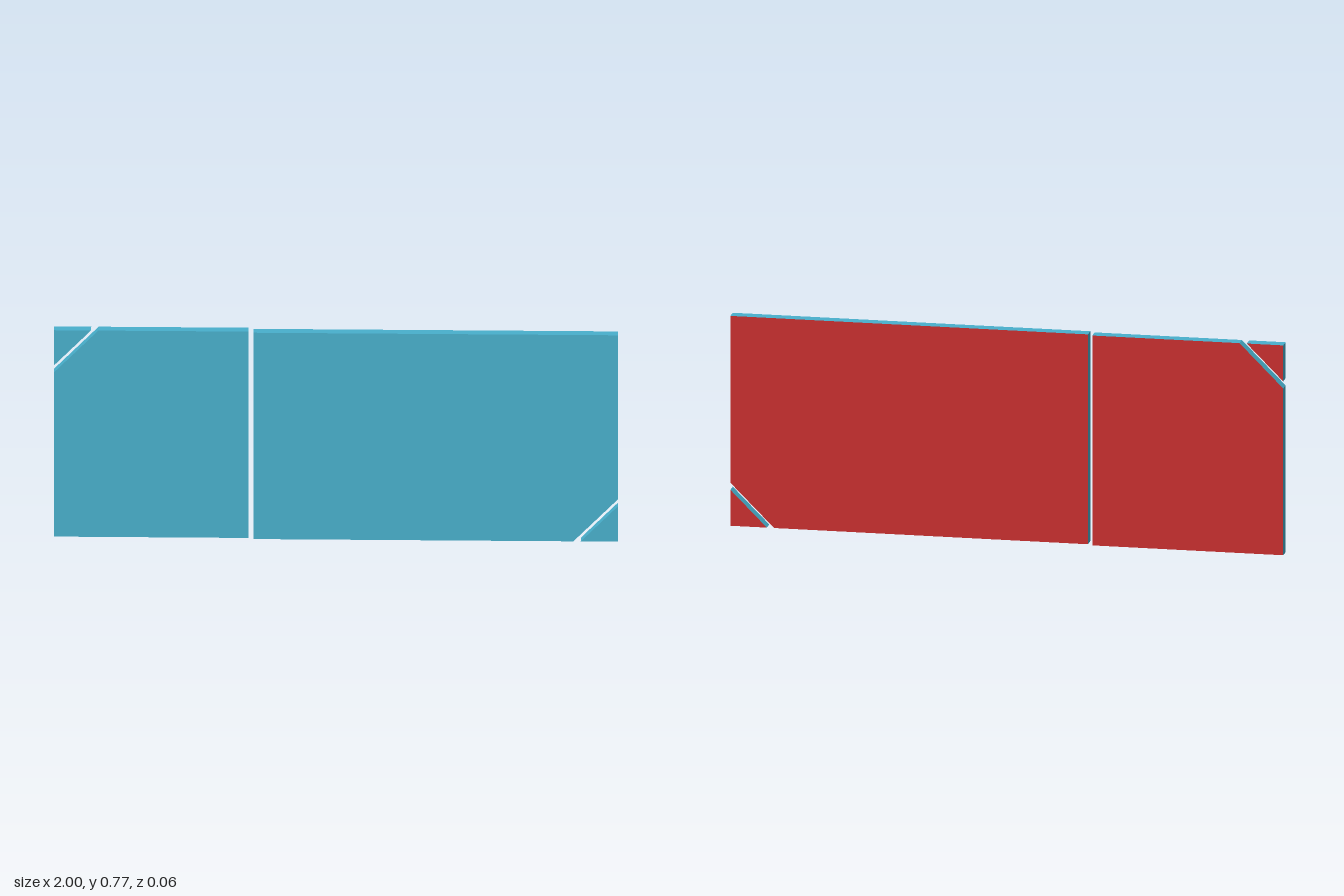
import * as THREE from 'three';

const HEIGHT = 0.77, THICK = 0.044, HALF_DEPTH = 0.028;
const CORNER = 0.132, CUT = 0.158; // legs of the corner piece and of the panel's cut

export function createModel() {
  const model = new THREE.Group();
  model.name = 'splitPanel';
  const blue = new THREE.MeshStandardMaterial({ color: 0x48b0cd });
  blue.name = 'blue';
  const red = new THREE.MeshStandardMaterial({ color: 0xc62a2a });
  red.name = 'red';

  // Flat slab from an outline: blue front and edges, red back
  function slab(name, points, parent) {
    const shape = new THREE.Shape(points.map(([x, y]) => new THREE.Vector2(x, y)));
    const geometry = new THREE.ExtrudeGeometry(shape, { depth: THICK, bevelEnabled: false });
    const [lids, sides] = geometry.groups;
    geometry.clearGroups();
    geometry.addGroup(0, lids.count / 2, 1); // back lid comes first
    geometry.addGroup(lids.count / 2, lids.count / 2, 0);
    geometry.addGroup(sides.start, sides.count, 0);
    const mesh = new THREE.Mesh(geometry, [blue, red]);
    mesh.name = name;
    parent.add(mesh);
  }

  // Narrow panel, set back, with its upper outer corner sliced off
  const narrow = new THREE.Group();
  narrow.name = 'narrowPanel';
  narrow.position.z = -HALF_DEPTH;
  slab('narrowBoard', [[-1, 0], [-0.31, 0], [-0.31, HEIGHT], [-1 + CUT, HEIGHT], [-1, HEIGHT - CUT]], narrow);
  slab('upperCorner', [[-1, HEIGHT - CORNER], [-1 + CORNER, HEIGHT], [-1, HEIGHT]], narrow);

  // Wide panel, set forward, with its lower outer corner sliced off
  const wide = new THREE.Group();
  wide.name = 'widePanel';
  wide.position.z = HALF_DEPTH - THICK;
  slab('wideBoard', [[-0.292, 0], [1 - CUT, 0], [1, CUT], [1, HEIGHT], [-0.292, HEIGHT]], wide);
  slab('lowerCorner', [[1 - CORNER, 0], [1, 0], [1, CORNER]], wide);

  model.add(narrow, wide);
  return model;
}
